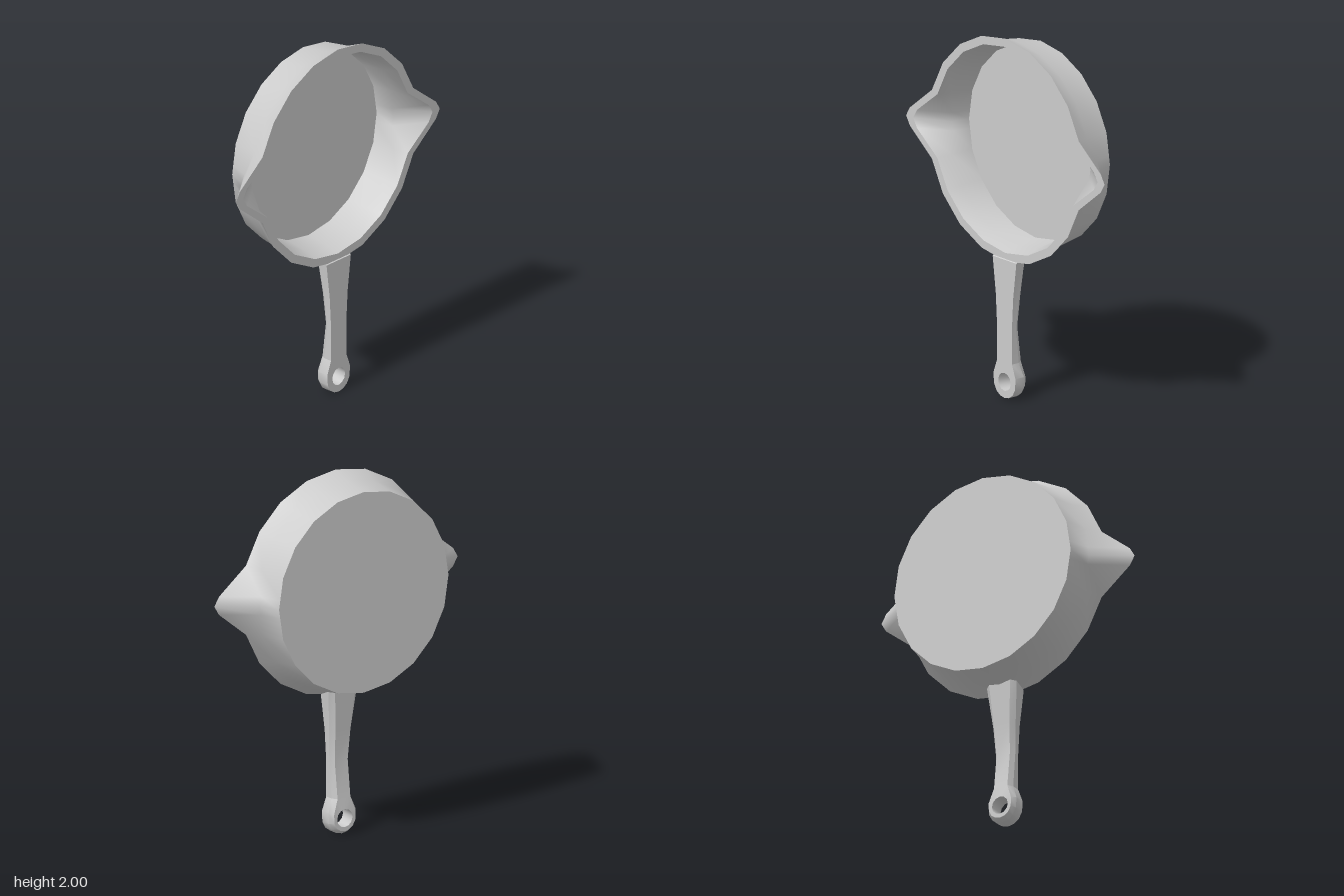
import * as THREE from 'three';
import { toCreasedNormals } from 'three/addons/utils/BufferGeometryUtils.js';

const CY = 1.38; // height of the pan's axis

// Skin a series of closed loops, each with the same number of points.
function loft(loops) {
  const n = loops[0].length, pos = [], idx = [];
  loops.forEach(l => l.forEach(p => pos.push(...p)));
  for (let i = 0; i < loops.length - 1; i++) {
    for (let j = 0; j < n; j++) {
      const a = i * n + j, d = i * n + (j + 1) % n;
      idx.push(a, a + n, d, d, a + n, d + n);
    }
  }
  const g = new THREE.BufferGeometry();
  g.setAttribute('position', new THREE.Float32BufferAttribute(pos, 3));
  g.setIndex(idx);
  g.computeVertexNormals();
  return g;
}

// Twenty-sided ring whose two side corners are pulled out into pouring spouts.
function panRing(r, z, tip, tipZ, cut) {
  const loop = [];
  for (let i = 0; i < 20; i++) {
    const a = i * Math.PI / 10;
    if (i % 10 === 5) {
      const side = i === 5 ? 1 : -1;
      for (const s of [-1, 0, 1]) {
        loop.push([side * (tip - Math.abs(s) * cut), CY - side * s * 0.05, tipZ]);
      }
    } else {
      loop.push([r * Math.sin(a), CY + r * Math.cos(a), z]);
    }
  }
  return loop;
}

export function createModel() {
  const group = new THREE.Group();
  const material = new THREE.MeshStandardMaterial({ color: 0xcccccc });
  const add = (name, geometry, parent = group) => {
    const mesh = new THREE.Mesh(geometry, material);
    mesh.name = name;
    parent.add(mesh);
  };

  // Pan body
  const RIM = 0.122;
  const back = panRing(0.555, -0.128, 0.555, -0.128, 0.008);
  const outerMid = panRing(0.58, 0.03, 0.595, -0.01, 0.008);
  const outerRim = panRing(0.62, RIM, 0.797, RIM, 0.03);
  const innerRim = panRing(0.574, RIM, 0.74, RIM, 0.03);
  const innerMid = panRing(0.55, 0.04, 0.555, 0.01, 0.008);
  const floor = panRing(0.533, -0.09, 0.533, -0.09, 0.008);
  const centre = z => back.map(() => [0, CY, z]);
  add('panBase', loft([centre(-0.128), back]));
  add('outerWall', loft([back, outerMid, outerRim]));
  add('rim', loft([outerRim, innerRim]));
  add('innerWall', loft([innerRim, innerMid, floor]));
  add('panFloor', loft([floor, centre(-0.09)]));

  // Handle shank: flat front, straight sides, bevelled back
  const handle = new THREE.Group();
  handle.name = 'handle';
  group.add(handle);
  const FRONT = 0.128;
  // height, half width, z of side edge, z of back, height of the front edge
  const stations = [
    [0.2, 0.06, 0.08, 0.05, 0.2],
    [0.4, 0.06, 0.1, 0.075, 0.4],
    [0.57, 0.07, 0.088, 0.06, 0.57],
    [0.815, 0.095, 0.06, 0.038, 0.77],
  ];
  const shank = stations.map(([y, w, zs, zb, yf]) => [
    [0.7 * w, y, zb], [w, y, zs], [w, yf, FRONT],
    [-w, yf, FRONT], [-w, y, zs], [-0.7 * w, y, zb],
  ]);
  shank.push(shank[3].map(() => [0, 0.79, 0.09])); // end cap inside the wall
  add('handleShank', toCreasedNormals(loft(shank), 0.45), handle);

  // Hanging eye at the end of the handle
  const half = [[0, 0.2], [0.06, 0.2], [0.088, 0.125], [0.085, 0.065], [0.065, 0.028], [0.035, 0.007], [0, 0]];
  const outline = [...half, ...half.slice(1, 6).reverse().map(([x, y]) => [-x, y])];
  const EY = 0.09;
  const hole = z => outline.map((_, i) => {
    const a = i * Math.PI / 6;
    return [0.05 * Math.sin(a), EY + 0.05 * Math.cos(a), z];
  });
  const top = y => y > 0.15;
  const eyeBack = outline.map(([x, y]) =>
    top(y) ? [0.7 * x, y, 0.05] : [0.8 * x, EY + (y - EY) * 0.8, 0.042]);
  const eyeSide = outline.map(([x, y]) => [x, y, top(y) ? 0.08 : 0.068]);
  const eyeFront = outline.map(([x, y]) => [x, y, FRONT]);
  add('hangingEye', toCreasedNormals(
    loft([hole(0.042), eyeBack, eyeSide, eyeFront, hole(FRONT), hole(0.042)]), 0.6), handle);

  return group;
}
